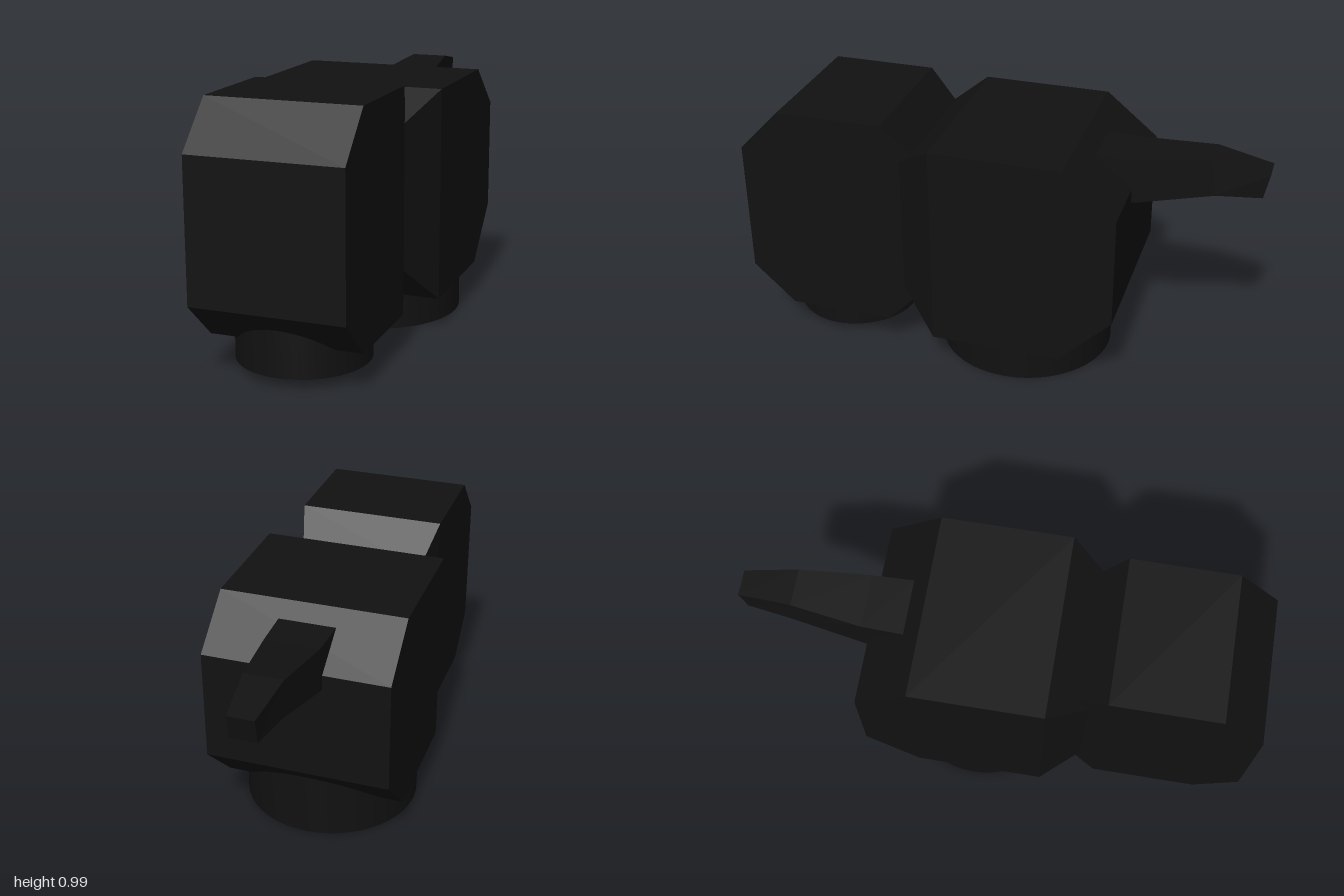
import * as THREE from 'three';
import { toCreasedNormals } from 'three/addons/utils/BufferGeometryUtils.js';

const material = new THREE.MeshStandardMaterial({ color: 0x111111 });

// Joins rectangular sections [z, halfWidth, yBottom, yTop], listed front to back.
function loft(sections) {
  const positions = [];
  const rings = sections.map(([z, w, y0, y1]) => {
    // A section may lean: y values can be [y, z] pairs.
    const [b, bz] = Array.isArray(y0) ? y0 : [y0, z];
    const [t, tz] = Array.isArray(y1) ? y1 : [y1, z];
    return [[-w, b, bz], [w, b, bz], [w, t, tz], [-w, t, tz]];
  });
  const quad = (a, b, c, d) => positions.push(...a, ...b, ...c, ...a, ...c, ...d);
  quad(...rings[0]);
  for (let i = 0; i < rings.length - 1; i++) {
    const f = rings[i], r = rings[i + 1];
    for (let k = 0; k < 4; k++) {
      const n = (k + 1) % 4;
      quad(f[k], r[k], r[n], f[n]);
    }
  }
  quad(...[...rings.at(-1)].reverse());
  const geometry = new THREE.BufferGeometry();
  geometry.setAttribute('position', new THREE.Float32BufferAttribute(positions, 3));
  geometry.computeVertexNormals();
  return geometry;
}

// Hollow round collar, open below; the block above closes the bore.
function collar(inner, outer, yBottom, yBore, yTop) {
  const profile = [[inner, yBore], [inner, yBottom], [outer, yBottom], [outer, yTop]];
  const geometry = new THREE.LatheGeometry(profile.map(([r, y]) => new THREE.Vector2(r, y)), 48);
  return toCreasedNormals(geometry, 0.6);
}

export function createModel() {
  const model = new THREE.Group();
  const add = (name, geometry, z = 0) => {
    const mesh = new THREE.Mesh(geometry, material);
    mesh.name = name;
    mesh.position.z = z;
    model.add(mesh);
  };

  // Narrow front block, bevelled above and below
  add('frontBlock', loft([
    [1, 0.288, 0.29, 0.82],
    [0.835, 0.288, 0.138, 0.99],
    [0.42, 0.288, 0.138, 0.99],
    [0.28, 0.245, 0.27, 0.85],
  ]));

  // Wide rear block, its front bevelled on all four sides
  add('rearBlock', loft([
    [0.4, 0.24, 0.33, 0.81],
    [0.205, 0.36, 0.138, 0.948],
    [-0.3, 0.36, 0.138, 0.948],
    [-0.505, 0.36, 0.34, 0.78],
  ]));

  // Tapering lever at the back
  add('lever', loft([
    [-0.36, 0.11, 0.725, 0.898],
    [-0.52, 0.105, 0.725, 0.898],
    [-0.8, 0.073, [0.785, -0.81], [0.923, -0.79]],
    [-1, 0.05, [0.79, -0.98], [0.887, -1]],
  ]));

  // Collars under the blocks
  add('frontCollar', collar(0.14, 0.248, 0.04, 0.15, 0.27), 0.668);
  add('rearCollar', collar(0.205, 0.346, 0, 0.15, 0.3), -0.077);

  return model;
}
